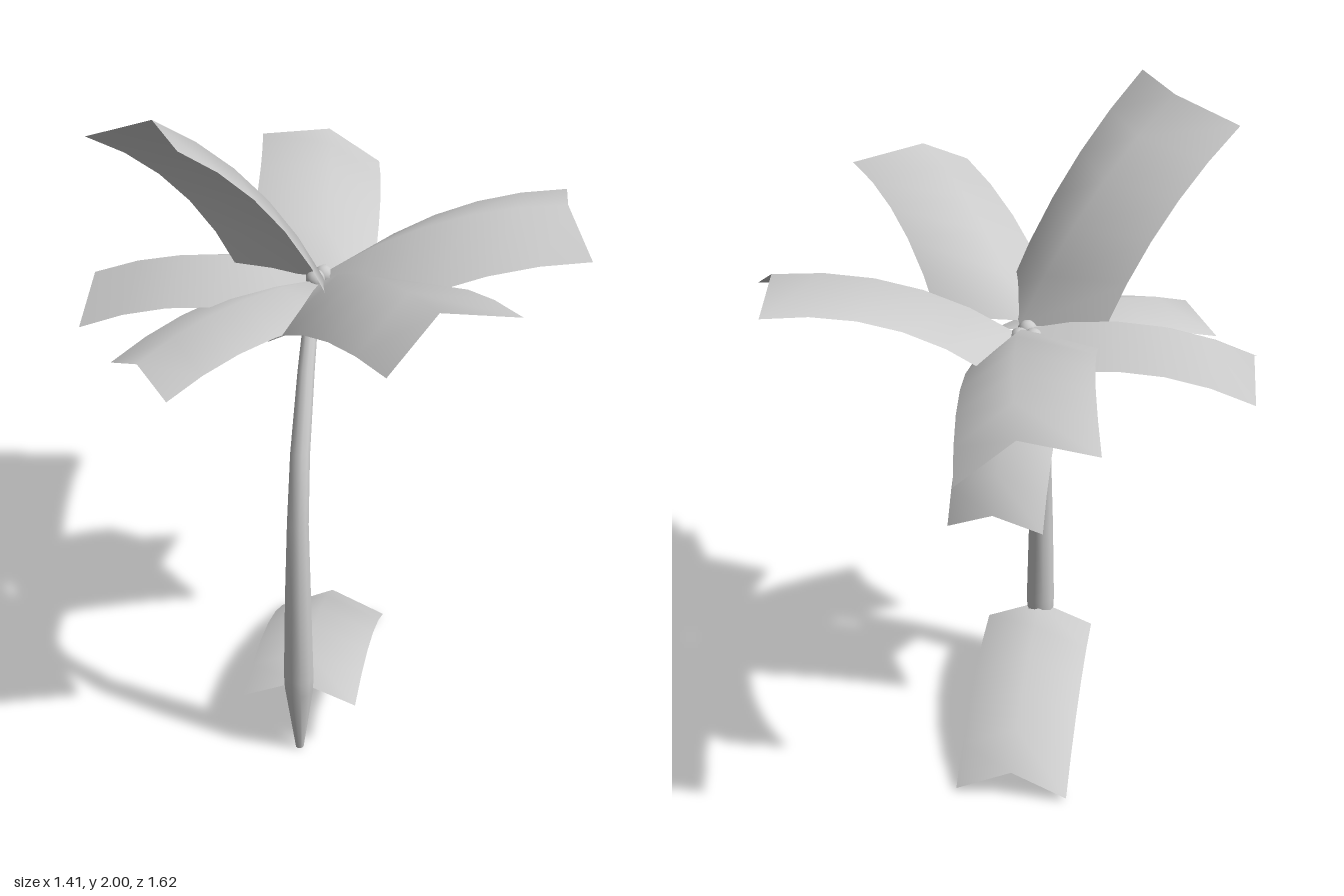
import * as THREE from 'three';

const grey = new THREE.MeshStandardMaterial({ color: 0xcccccc, side: THREE.DoubleSide });
grey.name = 'grey';

const vec = (p) => new THREE.Vector3(...p);

// Smooth surface through rows of points; closed joins the last column to the first.
function loft(rows, closed = false) {
  const n = rows[0].length, index = [];
  for (let i = 0; i < rows.length - 1; i++) {
    for (let j = 0; j < (closed ? n : n - 1); j++) {
      const a = i * n + j, b = i * n + (j + 1) % n, c = a + n, d = b + n;
      index.push(a, c, b, b, c, d);
    }
  }
  const geo = new THREE.BufferGeometry().setFromPoints(rows.flat());
  geo.setIndex(index);
  geo.computeVertexNormals();
  return geo;
}

// Gabled leaf: three rails (edge, ridge, edge), each given as [root, tip], arched together.
function frond(name, rails, arch = 0.058) {
  const ends = rails.map(([root, tip]) => [vec(root), vec(tip)]);
  const chord = ends[1][1].clone().sub(ends[1][0]);
  const side = ends[2][1].clone().sub(ends[0][1]);
  const up = chord.cross(side).normalize();
  if (up.y < 0) up.negate();
  const rows = [], steps = 5;
  for (let i = 0; i <= steps; i++) {
    const t = i / steps, lift = arch * 4 * t * (1 - t);
    rows.push(ends.map(([root, tip]) => root.clone().lerp(tip, t).addScaledVector(up, lift)));
  }
  const mesh = new THREE.Mesh(loft(rows), grey);
  mesh.name = name;
  return mesh;
}

// Curved tapering trunk: [y, z, radius] rings tilted to follow the path.
function trunk() {
  const x = -0.065, sides = 10;
  const path = [[0, 0.35, 0.012], [0.22, 0.352, 0.042], [0.27, 0.352, 0.044], [0.55, 0.348, 0.038],
    [0.8, 0.336, 0.031], [1.0, 0.285, 0.028], [1.2, 0.17, 0.024], [1.35, 0.055, 0.02], [1.4, 0.012, 0.018]];
  const rows = path.map(([y, z, r], i) => {
    const p = path[Math.max(i - 1, 0)], q = path[Math.min(i + 1, path.length - 1)];
    const lean = Math.atan2(q[1] - p[1], q[0] - p[0]);
    return Array.from({ length: sides }, (_, j) => {
      const a = -j / sides * Math.PI * 2;
      return new THREE.Vector3(Math.cos(a) * r, 0, Math.sin(a) * r)
        .applyAxisAngle(new THREE.Vector3(1, 0, 0), lean).add(new THREE.Vector3(x, y, z));
    });
  });
  // Close the foot
  rows.unshift(rows[0].map(() => new THREE.Vector3(x, 0, 0.35)));
  const mesh = new THREE.Mesh(loft(rows, true), grey);
  mesh.name = 'trunk';
  return mesh;
}

export function createModel() {
  const group = new THREE.Group();
  group.name = 'palmTree';
  group.add(trunk());

  // Crown fronds and the single low frond
  group.add(
    frond('leftFrond', [
      [[0.02, 1.38, -0.19], [0.61, 1.57, -0.33]],
      [[-0.03, 1.42, -0.02], [0.62, 1.61, -0.14]],
      [[0.03, 1.315, 0.16], [0.70, 1.51, 0]]]),
    frond('backFrond', [
      [[-0.27, 1.41, -0.06], [-0.35, 1.49, -0.77]],
      [[-0.05, 1.43, -0.02], [-0.14, 1.52, -0.77]],
      [[0.085, 1.325, -0.05], [0.01, 1.4, -0.815]]]),
    frond('rightFrond', [
      [[-0.07, 1.35, -0.16], [-0.71, 1.3, -0.13]],
      [[-0.05, 1.42, 0], [-0.695, 1.38, 0.01]],
      [[-0.07, 1.34, 0.15], [-0.705, 1.29, 0.175]]]),
    frond('frontLeftFrond', [
      [[0.205, 1.4, 0.08], [0.545, 1.64, 0.58]],
      [[-0.04, 1.42, 0.05], [0.345, 1.68, 0.66]],
      [[-0.17, 1.29, 0.18], [0.235, 1.575, 0.81]]]),
    frond('tallFrond', [
      [[-0.28, 1.43, 0.02], [-0.61, 1.93, 0.31]],
      [[-0.04, 1.42, 0.02], [-0.425, 2.0, 0.34]],
      [[0.02, 1.43, 0.22], [-0.32, 2.0, 0.52]]]),
    frond('frontRightFrond', [
      [[-0.15, 1.35, -0.08], [-0.58, 1.27, 0.32]],
      [[-0.05, 1.41, 0.02], [-0.48, 1.33, 0.42]],
      [[0.05, 1.35, 0.12], [-0.38, 1.28, 0.52]]], 0.045),
    frond('droopingFrond', [
      [[-0.19, 1.34, -0.04], [-0.165, 1.02, -0.42]],
      [[-0.055, 1.42, -0.03], [-0.03, 1.08, -0.44]],
      [[0.07, 1.34, -0.04], [0.10, 1.01, -0.4]]], 0.05),
    frond('lowFrond', [
      [[-0.232, 0.175, 0.35], [-0.232, 0.01, -0.32]],
      [[-0.065, 0.245, 0.35], [-0.065, 0.09, -0.32]],
      [[0.102, 0.175, 0.35], [0.102, 0.01, -0.32]]]));

  // Coconuts at the crown
  [[-0.083, 1.405, -0.02], [-0.045, 1.405, -0.022], [-0.062, 1.41, 0.018]].forEach((p) => {
    const nut = new THREE.Mesh(new THREE.SphereGeometry(0.028, 10, 8), grey);
    nut.name = 'coconut';
    nut.position.set(...p);
    group.add(nut);
  });
  return group;
}
